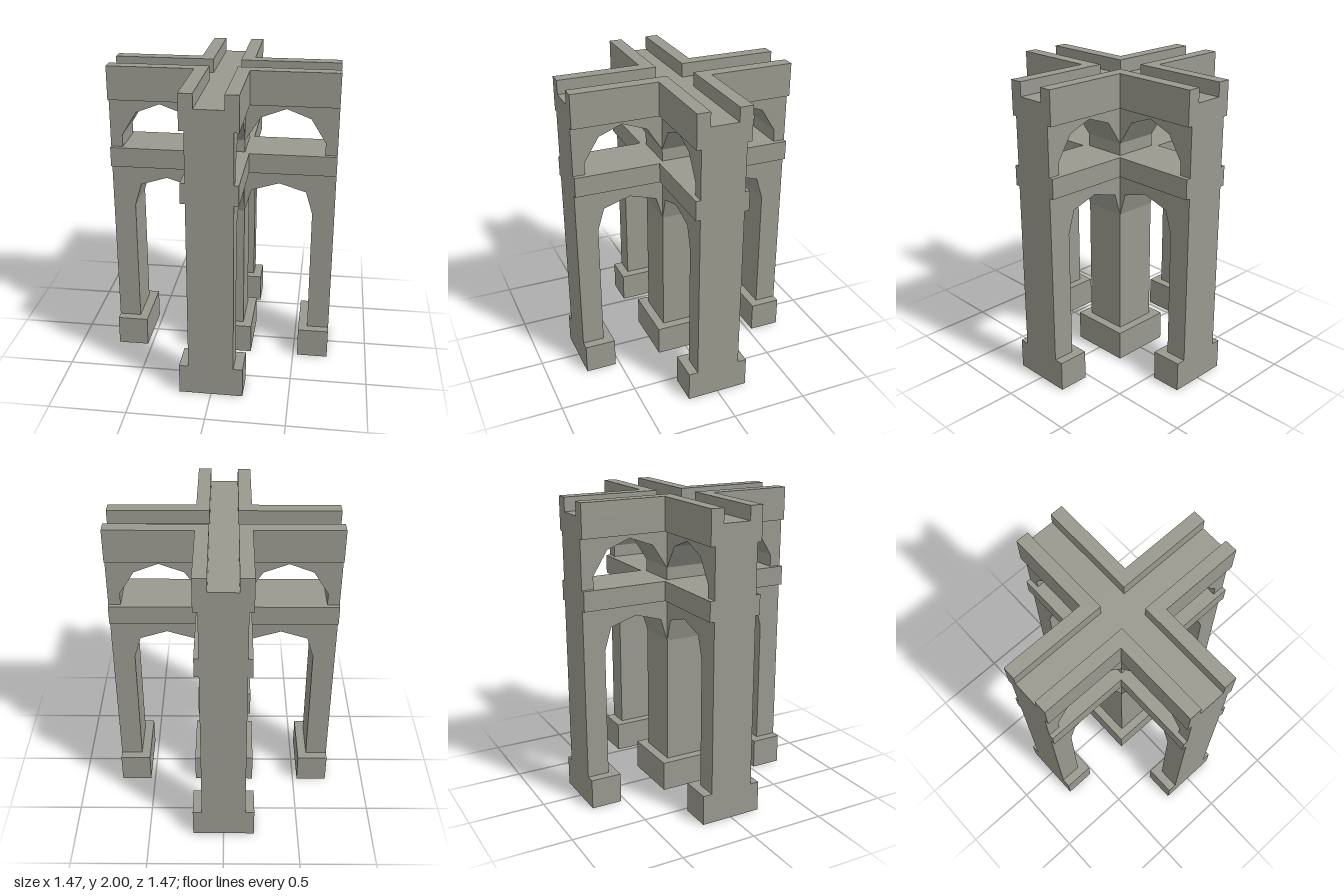
import * as THREE from 'three';

const REACH = 0.735; // length of each arm from the centre
const WALL = 0.145;  // half thickness of walls and pillar
const BAND = 0.175;  // half thickness of the projecting courses
const BASE = 0.205;  // half width of the plinths
const SLOT = 0.09;   // half width of the channel on top

const toShape = (pts) => new THREE.Shape(pts.map(([x, y]) => new THREE.Vector2(x, y)));

export function createModel() {
  const group = new THREE.Group();
  const stone = new THREE.MeshStandardMaterial({ color: 0x99998f, flatShading: true });

  const add = (geometry, name, parent = group) => {
    const mesh = new THREE.Mesh(geometry, stone);
    mesh.name = name;
    parent.add(mesh);
    return mesh;
  };

  // Plan shape raised from y0 to y1
  const slab = (shape, y0, y1) => {
    const g = new THREE.ExtrudeGeometry(shape, { depth: y1 - y0, bevelEnabled: false });
    return g.rotateX(-Math.PI / 2).translate(0, y0, 0);
  };

  // Elevation shape with the wall thickness, centred on z = 0
  const wall = (pts) =>
    new THREE.ExtrudeGeometry(toShape(pts), { depth: WALL * 2, bevelEnabled: false }).translate(0, 0, -WALL);

  const rect = (x0, x1, h) => [[x0, -h], [x1, -h], [x1, h], [x0, h]];

  // Plinth with a recess underneath
  const plinth = (x0, x1, name, parent) => {
    const rim = 0.06;
    const frame = toShape(rect(x0, x1, BASE));
    frame.holes.push(toShape(rect(x0 + rim, x1 - rim, BASE - rim)));
    add(slab(frame, 0, 0.1), name + 'Rim', parent);
    add(slab(toShape(rect(x0, x1, BASE)), 0.1, 0.2), name, parent);
  };

  // Central pillar
  add(slab(toShape(rect(-WALL, WALL, WALL)), 0.2, 1.78), 'centrePillar');
  plinth(-BASE, BASE, 'centrePlinth', group);

  // Cross-shaped courses
  const B = BAND, R = REACH;
  const cross = toShape([
    [R, -B], [R, B], [B, B], [B, R], [-B, R], [-B, B],
    [-R, B], [-R, -B], [-B, -B], [-B, -R], [B, -R], [B, -B],
  ]);
  add(slab(cross, 1.33, 1.46), 'middleCourse');
  add(slab(cross, 1.78, 1.91), 'topCourse');

  // Arch walls, end piers and channel curbs, one set per arm
  const lowerArch = [
    [WALL, 1.33], [WALL, 1.05], [0.19, 1.2], [0.37, 1.255], [0.545, 1.2], [0.59, 1.05],
    [0.59, 0.2], [R, 0.2], [R, 1.33],
  ];
  const upperArch = [
    [WALL, 1.78], [WALL, 1.54], [0.245, 1.695], [0.405, 1.755], [0.56, 1.695], [0.657, 1.54],
    [0.657, 1.46], [R, 1.46], [R, 1.78],
  ];
  const curb = [[SLOT, SLOT], [R, SLOT], [R, B], [B, B], [B, R], [SLOT, R]];

  for (let i = 0; i < 4; i++) {
    const arm = new THREE.Group();
    arm.name = 'arm' + (i + 1);
    arm.rotation.y = (i * Math.PI) / 2;
    add(wall(lowerArch), 'lowerArchWall', arm);
    add(wall(upperArch), 'upperArchWall', arm);
    plinth(0.53, R, 'endPlinth', arm);
    add(slab(toShape(curb), 1.91, 2), 'channelCurb', arm);
    group.add(arm);
  }

  return group;
}
